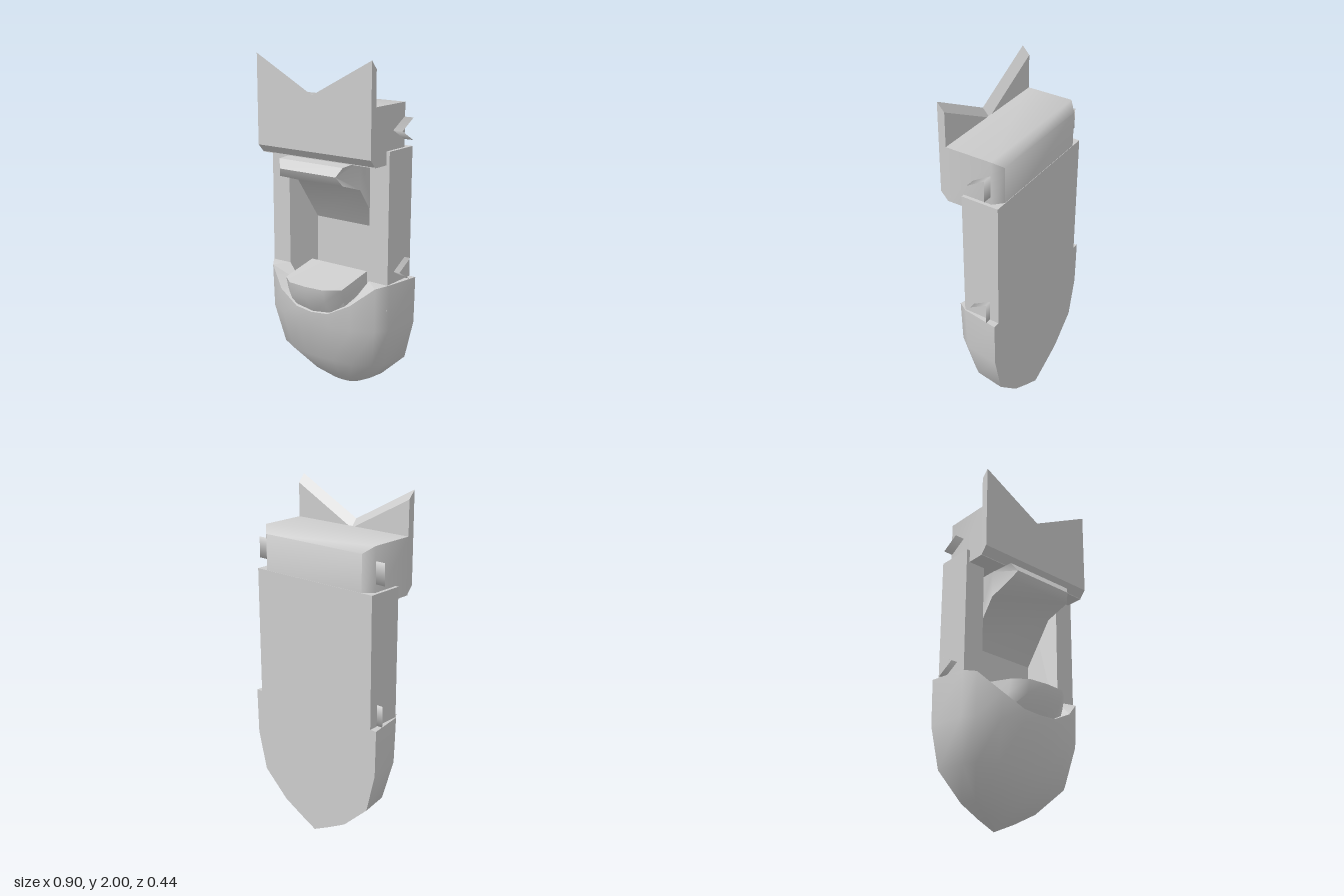
import * as THREE from 'three';
import { toCreasedNormals } from 'three/addons/utils/BufferGeometryUtils.js';

const grey = new THREE.MeshStandardMaterial({ color: 0xcccccc });
grey.name = 'light grey';

// Surface through rows of points; rows run bottom to top, columns from -x to +x
function loft(rows) {
  const n = rows[0].length, index = [];
  for (let r = 0; r < rows.length - 1; r++) {
    for (let c = 0; c < n - 1; c++) {
      const a = r * n + c, e = a + n;
      index.push(a, a + 1, e + 1, a, e + 1, e);
    }
  }
  const g = new THREE.BufferGeometry();
  g.setAttribute('position', new THREE.Float32BufferAttribute(rows.flat(2), 3));
  g.setIndex(index);
  g.computeVertexNormals();
  return g;
}

// Complete a half row (from +x side to centre) with its mirror image
const mirrorRow = (half) => [
  ...half.map(([x, y, z]) => [-x, y, z]),
  ...half.slice(0, -1).reverse(),
];

const shapeOf = (pts) => new THREE.Shape(pts.map(([x, y]) => new THREE.Vector2(x, y)));
const extrude = (pts, depth) => new THREE.ExtrudeGeometry(shapeOf(pts), { depth, bevelEnabled: false });

// Move every vertex by a rule
function reshape(g, rule) {
  const p = g.attributes.position, v = new THREE.Vector3();
  for (let i = 0; i < p.count; i++) {
    v.fromBufferAttribute(p, i);
    rule(v);
    p.setXYZ(i, v.x, v.y, v.z);
  }
  g.computeVertexNormals();
  return g;
}

export function createModel() {
  const model = new THREE.Group();
  const add = (name, geometry) => {
    const m = new THREE.Mesh(geometry, grey);
    m.name = name;
    model.add(m);
    return m;
  };

  // Trough-shaped body with sloping inner walls
  const body = extrude([
    [-0.41, 0.22], [0.41, 0.22], [0.41, 0], [0.285, 0],
    [0.22, 0.18], [-0.22, 0.18], [-0.285, 0], [-0.41, 0],
  ].map(([x, y]) => [x, y]), 0.895);
  body.rotateX(-Math.PI / 2).translate(0, 0.62, 0);
  // The shape's y is -z: back at z = -0.22
  add('body', body);

  // Rounded nose: one cross-section scaled at each level
  const section = [[1, 0], [0.93, 0.56], [0.82, 0.74], [0.55, 0.92], [0.25, 0.985], [0, 1]];
  const level = (y, w, front) => mirrorRow(section.map(([sx, sz], i) =>
    [w * sx, Array.isArray(y) ? y[i] : y, -0.22 + (front + 0.22) * sz]));
  const rim = level([0.77, 0.77, 0.755, 0.65, 0.58, 0.57], 0.45, 0.16);
  add('nose', loft([
    level(0.005, 0, -0.22),
    level(0.055, 0.11, -0.12),
    level(0.12, 0.23, -0.04),
    level(0.27, 0.39, 0.09),
    level(0.5, 0.445, 0.15),
    rim,
  ]));

  // Ledge from the nose rim in to the cockpit
  const ledge = loft([rim, mirrorRow([
    [0.285, 0.77, -0.22], [0.285, 0.77, 0], [0.285, 0.77, 0],
    [0.2, 0.66, 0], [0.1, 0.62, 0], [0, 0.62, 0],
  ])]);
  add('noseLedge', toCreasedNormals(ledge, 0.5));

  // Flat back of the nose
  const back = new THREE.ShapeGeometry(shapeOf([
    [0, 0], [0.11, 0.055], [0.23, 0.12], [0.39, 0.27], [0.445, 0.5], [0.45, 0.77],
    [-0.45, 0.77], [-0.445, 0.5], [-0.39, 0.27], [-0.23, 0.12], [-0.11, 0.055],
  ]));
  back.rotateY(Math.PI).translate(0, 0, -0.22);
  add('noseBack', back);

  // Cowl in front of the cockpit
  const cowlRow = (y, side, mid, centre) => mirrorRow([
    [0.2, y, -0.1], [0.2, y, side], [0.12, y, mid], [0, y, centre],
  ]);
  const cowl = loft([
    cowlRow(0.56, 0.08, 0.12, 0.14),
    cowlRow(0.66, 0.12, 0.19, 0.205),
    cowlRow(0.735, 0.14, 0.205, 0.215),
    mirrorRow([[0.2, 0.78, -0.1], [0.2, 0.785, -0.1], [0.12, 0.785, -0.1], [0, 0.785, -0.1]]),
  ]);
  add('cowl', toCreasedNormals(cowl, 0.95));

  // Headrest: side profile drawn as (z, y), narrowed at its front edge
  const rest = extrude([
    [-0.18, 1.03], [0, 1.28], [0.16, 1.33], [0.19, 1.38], [0.16, 1.43], [0, 1.44], [-0.18, 1.45],
  ], 0.44);
  rest.rotateY(-Math.PI / 2).translate(0.22, 0, 0);
  // Turn the profile to face forward
  reshape(rest, (v) => { if (v.z > 0.17) v.x *= 0.88; });
  add('headrest', toCreasedNormals(rest, 0.9));

  // Block behind the plate, chamfered at its rear corners
  const block = reshape(new THREE.BoxGeometry(2, 2, 2, 1, 1, 2), (v) => {
    const rear = v.z < -0.5;
    const z = v.z > 0.5 ? 0.105 : rear ? -0.218 : -0.17;
    v.set(v.x * (rear ? 0.34 : 0.39), v.y > 0 ? (rear ? 1.72 : 1.76) : 1.44, z);
  });
  add('topBlock', toCreasedNormals(block, 0.95));

  // Notched plate, sheared so its top and bottom edges slope back
  const plate = extrude([
    [-0.39, 1.487], [0.39, 1.487], [0.39, 2], [0, 1.795], [-0.39, 2],
  ], 0.042);
  reshape(plate, (v) => { v.y -= (0.042 - v.z) * 1.1; v.z += 0.102; });
  add('notchedPlate', plate);

  // Open three-sided pegs on both sides
  for (const side of [-1, 1]) {
    for (const [name, y] of [['upperPeg', 1.62], ['lowerPeg', 0.835]]) {
      const peg = add(name, new THREE.CylinderGeometry(0.07, 0.07, 0.07, 3, 1, true));
      peg.rotation.z = Math.PI / 2;
      peg.position.set(side * 0.413, y, -0.13);
    }
  }
  return model;
}
